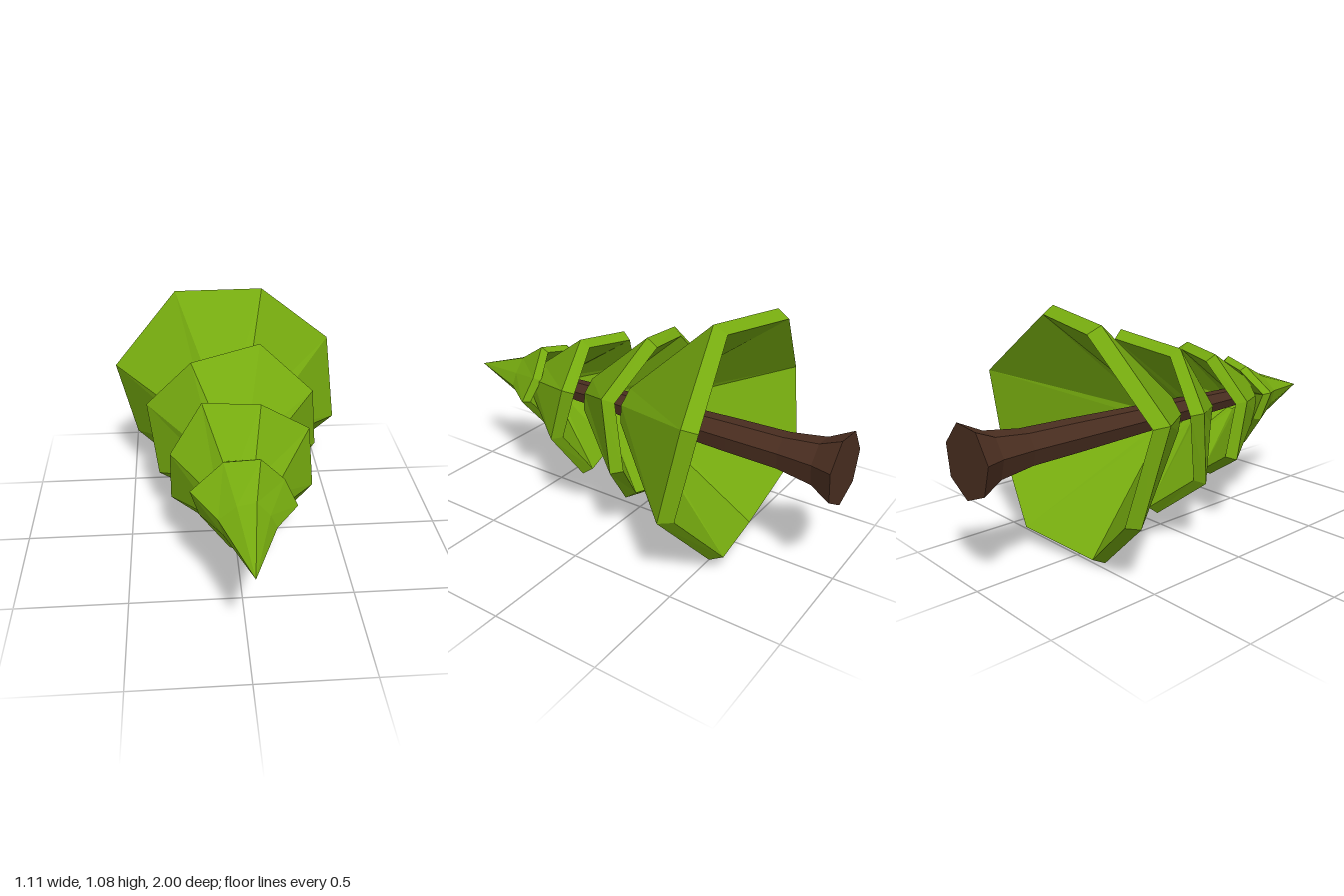
import * as THREE from 'three';

const CX = 0.005, CY = 0.53; // trunk axis, running along z

// Flat-shaded skin through a chain of rings (each ring clockwise seen from +z)
function skin(rings, material, name) {
  const pos = [];
  for (let r = 0; r + 1 < rings.length; r++) {
    const a = rings[r], b = rings[r + 1], n = a.length;
    for (let i = 0; i < n; i++) {
      const j = (i + 1) % n;
      pos.push(...a[i], ...b[j], ...b[i], ...a[i], ...a[j], ...b[j]);
    }
  }
  const geo = new THREE.BufferGeometry();
  geo.setAttribute('position', new THREE.Float32BufferAttribute(pos, 3));
  geo.computeVertexNormals();
  const mesh = new THREE.Mesh(geo, material);
  mesh.name = name;
  return mesh;
}

// Rim outlines (x, y), alternating z heights, and the rings above and inside
const TIERS = [
  {
    name: 'bottomBranches', z: [-0.54, -0.465], thick: 0.06, inset: 0.94,
    upper: [[0.2, 0.03]], inner: [0.09, 0.0],
    rim: [[-0.25, 1.05], [0.165, 1.08], [0.51, 0.785], [0.55, 0.37],
      [0.255, 0.06], [-0.15, 0.003], [-0.47, 0.28], [-0.555, 0.7]],
  },
  {
    name: 'lowerMiddleBranches', z: [-0.06, -0.125], thick: 0.045, inset: 0.91,
    upper: [[0.25, 0.25]], inner: [0.11, 0.2],
    rim: [[-0.19, 0.89], [0.126, 0.943], [0.366, 0.73], [0.4, 0.412],
      [0.2, 0.175], [-0.114, 0.128], [-0.354, 0.317], [-0.4, 0.655]],
  },
  {
    name: 'upperMiddleBranches', z: [0.2, 0.265], thick: 0.045, inset: 0.9,
    upper: [[0.36, 0.55]], inner: [0.13, 0.49],
    rim: [[-0.153, 0.824], [0.093, 0.842], [0.313, 0.684], [0.327, 0.433],
      [0.185, 0.21], [-0.073, 0.213], [-0.298, 0.353], [-0.295, 0.616]],
  },
  {
    name: 'topBranches', z: [0.5, 0.53], thick: 0.035, inset: 0.9,
    upper: [[0, 1], [0.53, 0.685]], inner: [0.05, 0.66],
    rim: [[-0.08, 0.714], [0.067, 0.74], [0.17, 0.622], [0.224, 0.51],
      [0.096, 0.35], [-0.058, 0.313], [-0.182, 0.465], [-0.218, 0.6]],
  },
];

function makeTier(t, material) {
  const scaled = (s, zAt) => t.rim.map(([x, y], i) =>
    [CX + (x - CX) * s, CY + (y - CY) * s, zAt(i)]);
  const rimZ = (i) => t.z[i % 2];
  const upper = t.upper.map(([s, z]) => scaled(s, () => z));
  return skin([
    ...upper,
    scaled(1, rimZ),
    scaled(t.inset, (i) => rimZ(i) - t.thick),
    scaled(t.inner[0], () => t.inner[1]), // hollow underside
    upper[0],
  ], material, t.name);
}

// Seven-sided trunk with a flared, closed base
function makeTrunk(material) {
  const ring = (r, z) => Array.from({ length: 7 }, (_, i) => {
    const a = 0.3 - i * Math.PI * 2 / 7;
    return [CX + 0.01 + r * Math.cos(a), CY + 0.01 + r * Math.sin(a), z];
  });
  return skin([
    ring(0, 0.62), ring(0.045, 0.6), ring(0.08, -0.5), ring(0.085, -0.74),
    ring(0.108, -0.9), ring(0.16, -1), ring(0, -1),
  ], material, 'trunk');
}

export function createModel() {
  const leaf = new THREE.MeshStandardMaterial({ color: 0x76ab0f });
  leaf.name = 'leafGreen';
  const bark = new THREE.MeshStandardMaterial({ color: 0x4a2e20 });
  bark.name = 'barkBrown';

  const tree = new THREE.Group();
  tree.name = 'lyingTree';
  tree.add(makeTrunk(bark));
  for (const t of TIERS) tree.add(makeTier(t, leaf));
  return tree;
}
